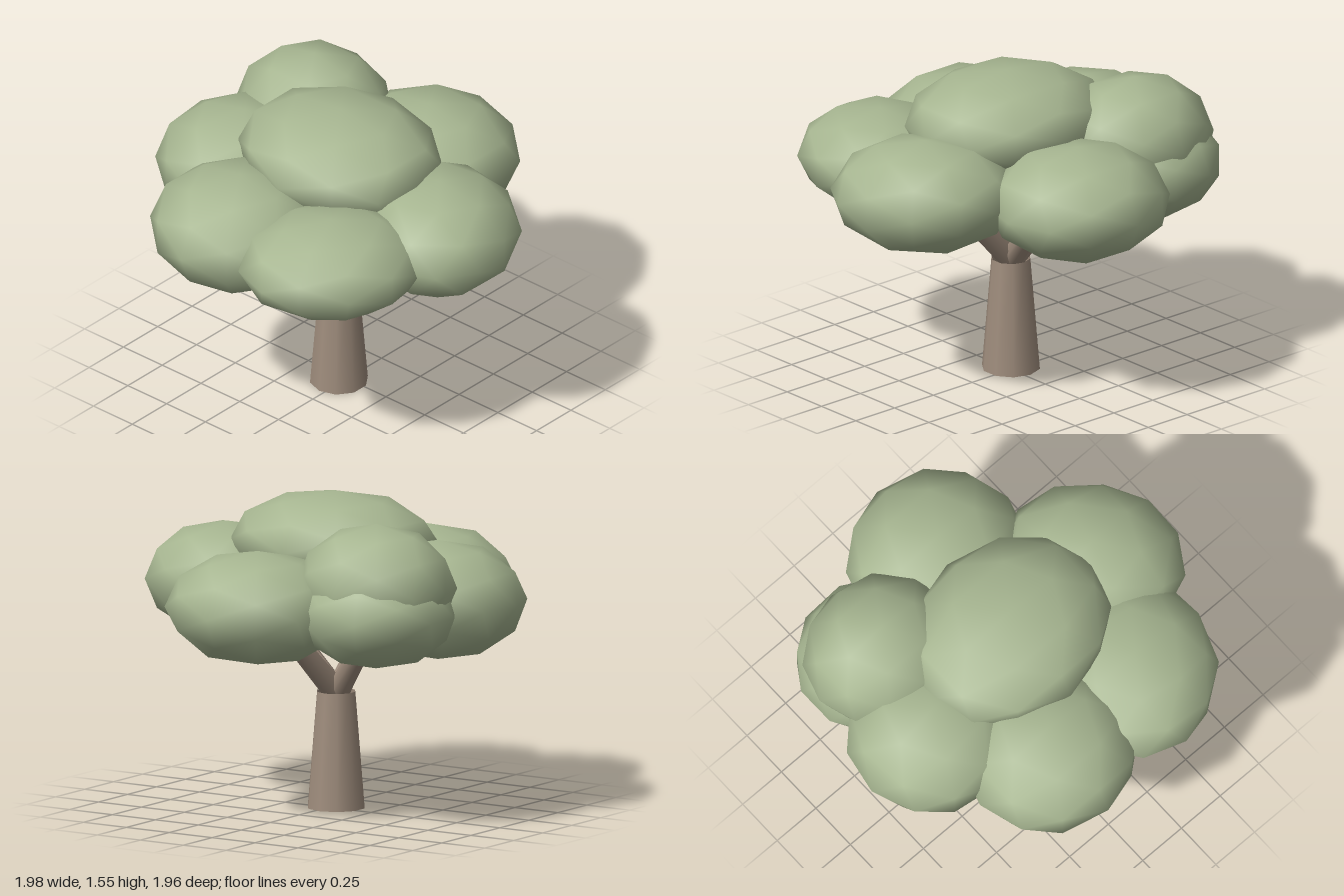
import * as THREE from 'three';

export function createModel() {
  const tree = new THREE.Group();
  tree.name = 'tree';
  const foliage = new THREE.MeshStandardMaterial({ color: 0xa7b691 });
  foliage.name = 'sage foliage';
  const bark = new THREE.MeshStandardMaterial({ color: 0x9e8c7c, side: THREE.DoubleSide });
  bark.name = 'brown bark';

  // Tapered trunk, open at the foot
  const trunk = new THREE.Mesh(new THREE.CylinderGeometry(0.096, 0.143, 0.57, 10, 1, true), bark);
  trunk.name = 'trunk';
  trunk.position.set(-0.027, 0.285, 0.03);
  tree.add(trunk);

  // Branches fanning out from the trunk top into the crown
  const up = new THREE.Vector3(0, 1, 0);
  const base = new THREE.Vector3(-0.03, 0.56, 0.03);
  const branches = [
    ['leftBranch', [0.31, 0.92, 0.03]],
    ['backBranch', [0.06, 0.92, -0.3]],
    ['rightBranch', [-0.3, 0.88, -0.1]],
    ['frontBranch', [-0.05, 0.92, 0.35]],
  ];
  for (const [name, tip] of branches) {
    const d = new THREE.Vector3(...tip).sub(base);
    const branch = new THREE.Mesh(new THREE.CylinderGeometry(0.046, 0.06, d.length(), 8), bark);
    branch.name = name;
    branch.position.copy(base).addScaledVector(d, 0.5);
    branch.quaternion.setFromUnitVectors(up, d.normalize());
    tree.add(branch);
  }

  // Flattened leaf clumps: name, centre, radii, turn about y
  const clumps = [
    ['topClump', [-0.01, 1.3, 0.04], [0.53, 0.25, 0.45], 0],
    ['frontRightClump', [-0.205, 1.045, 0.55], [0.445, 0.288, 0.43], 0],
    ['frontLeftClump', [0.37, 1.065, 0.53], [0.46, 0.238, 0.405], 0.93],
    ['leftClump', [0.575, 1.075, -0.02], [0.46, 0.277, 0.4], -0.88],
    ['backClump', [0.045, 1.055, -0.54], [0.455, 0.278, 0.44], 0],
    ['rightClump', [-0.565, 1.06, 0.11], [0.435, 0.292, 0.425], 0.1],
    ['backRightLowerClump', [-0.53, 1.055, -0.37], [0.395, 0.265, 0.375], 0.3],
    ['backRightUpperClump', [-0.505, 1.18, -0.33], [0.4, 0.31, 0.365], 0],
  ];
  for (const [name, centre, radii, turn] of clumps) {
    const clump = new THREE.Mesh(new THREE.IcosahedronGeometry(1, 1).scale(...radii), foliage);
    clump.name = name;
    clump.position.set(...centre);
    clump.rotation.y = turn;
    tree.add(clump);
  }
  return tree;
}
